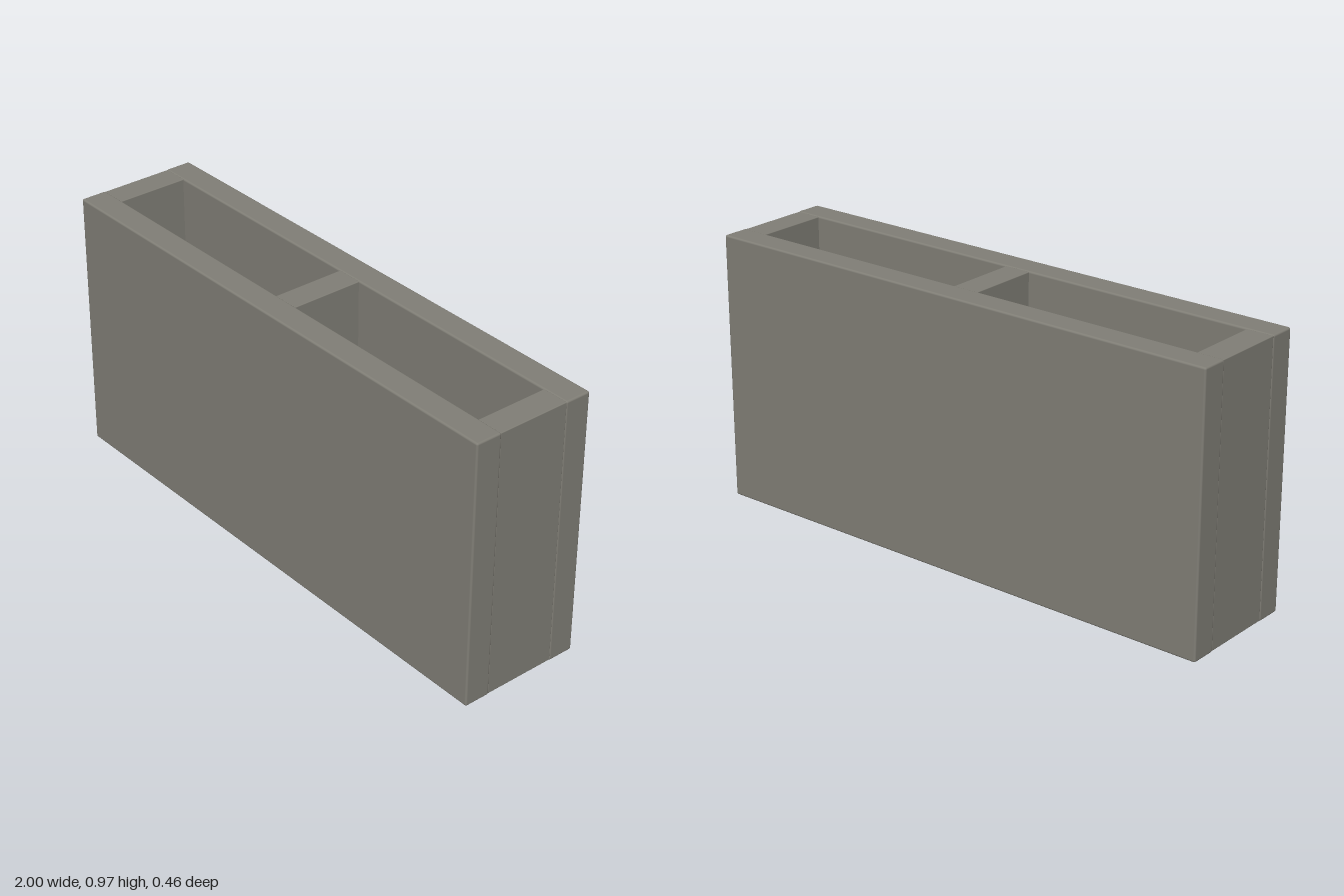
import * as THREE from 'three';
import { RoundedBoxGeometry } from 'three/addons/geometries/RoundedBoxGeometry.js';

export function createModel() {
  const group = new THREE.Group();
  group.name = 'hollowBlock';
  const concrete = new THREE.MeshStandardMaterial({ color: 0x807e76 });
  concrete.name = 'grey concrete';

  const H = 0.973; // overall height
  const WALL = 0.097; // thickness of walls and webs
  const DEPTH = 0.457; // overall depth

  function slab(name, w, h, d, bevel, x, z) {
    const mesh = new THREE.Mesh(new RoundedBoxGeometry(w, h, d, 2, bevel), concrete);
    mesh.name = name;
    mesh.position.set(x, H / 2, z);
    group.add(mesh);
  }

  // Long face walls, front and back
  for (const [name, s] of [['frontWall', 1], ['backWall', -1]]) {
    slab(name, 2, H, WALL, 0.007, 0, s * (DEPTH - WALL) / 2);
  }

  // Cross webs between the walls: two ends and the middle, open above and below
  const inner = DEPTH - 2 * WALL;
  for (const [name, s] of [['leftWeb', 1], ['middleWeb', 0], ['rightWeb', -1]]) {
    slab(name, WALL, H - 0.004, inner + 0.006, 0.003, s * (1 - WALL / 2 - 0.002), 0);
  }
  return group;
}
